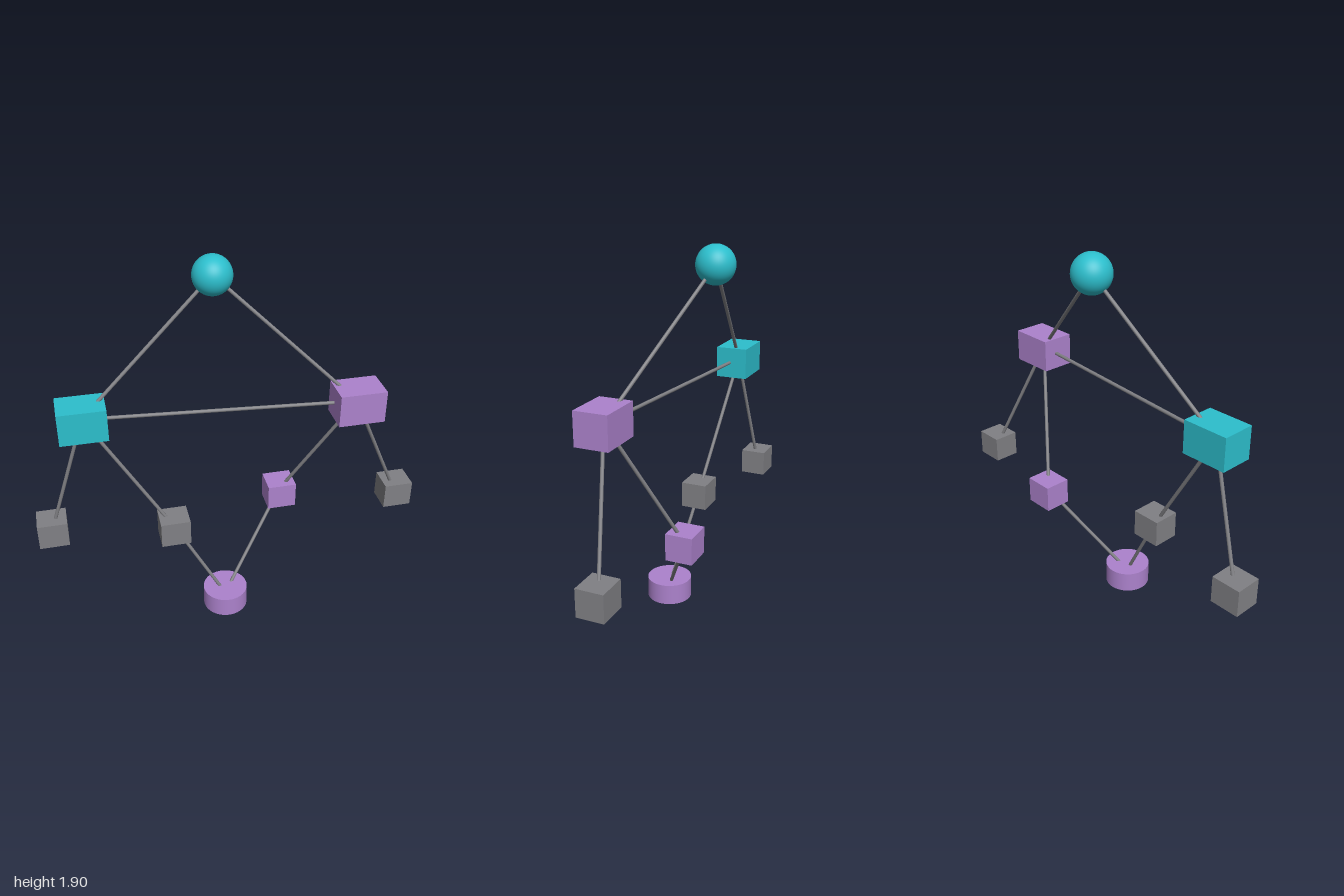
import * as THREE from 'three';

const material = (name, color) => {
  const m = new THREE.MeshStandardMaterial({ color });
  m.name = name;
  return m;
};

export function createModel() {
  const group = new THREE.Group();
  const teal = material('teal', 0x2cbecc);
  const purple = material('purple', 0xac82cc);
  const grey = material('grey', 0x808084);

  // Node shapes: a sphere on top, two large blocks, four small blocks, a disc below
  const sphere = new THREE.SphereGeometry(0.097, 48, 32);
  const largeBlock = new THREE.BoxGeometry(0.233, 0.166, 0.17);
  const smallBlock = new THREE.BoxGeometry(0.152, 0.138, 0.138);
  const disc = new THREE.CylinderGeometry(0.117, 0.117, 0.11, 64);

  const nodes = {};
  const addNode = (name, geometry, mat, x, y, z) => {
    const mesh = new THREE.Mesh(geometry, mat);
    mesh.name = name;
    mesh.position.set(x, y, z);
    nodes[name] = mesh.position;
    group.add(mesh);
  };
  addNode('topSphere', sphere, teal, -0.054, 1.802, -0.134);
  addNode('rightBlock', largeBlock, teal, -0.718, 1.187, -0.013);
  addNode('leftBlock', largeBlock, purple, 0.612, 1.187, 0.115);
  addNode('rightOuterCube', smallBlock, grey, -0.924, 0.519, -0.07);
  addNode('rightInnerCube', smallBlock, grey, -0.31, 0.519, 0.053);
  addNode('leftInnerCube', smallBlock, purple, 0.304, 0.519, -0.135);
  addNode('leftOuterCube', smallBlock, grey, 0.922, 0.519, -0.008);
  addNode('bottomDisc', disc, purple, -0.054, 0.055, 0.115);

  // Thin rods joining node centres
  const links = [
    ['topSphere', 'rightBlock'], ['topSphere', 'leftBlock'], ['rightBlock', 'leftBlock'],
    ['rightBlock', 'rightOuterCube'], ['rightBlock', 'rightInnerCube'],
    ['leftBlock', 'leftInnerCube'], ['leftBlock', 'leftOuterCube'],
    ['rightInnerCube', 'bottomDisc'], ['leftInnerCube', 'bottomDisc'],
  ];
  const up = new THREE.Vector3(0, 1, 0);
  links.forEach(([from, to], i) => {
    const a = nodes[from], b = nodes[to];
    const dir = b.clone().sub(a);
    const rod = new THREE.Mesh(new THREE.CylinderGeometry(0.009, 0.009, dir.length(), 12), grey);
    rod.name = `rod${i + 1}`;
    rod.position.copy(a).add(b).multiplyScalar(0.5);
    rod.quaternion.setFromUnitVectors(up, dir.normalize());
    group.add(rod);
  });

  return group;
}
